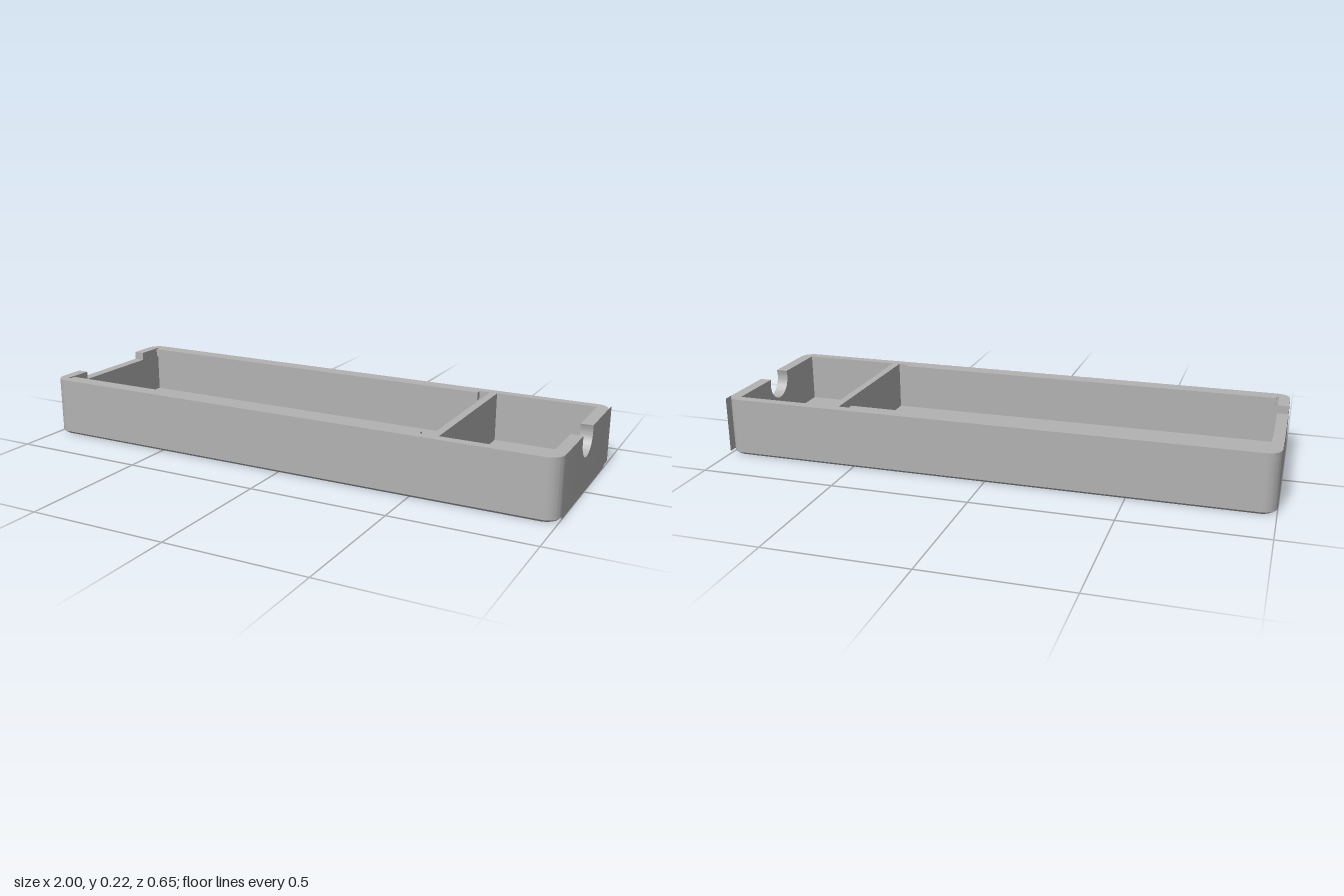
import * as THREE from 'three';
import { toCreasedNormals } from 'three/addons/utils/BufferGeometryUtils.js';

const W = 1, D = 0.323, H = 0.216;        // half width, half depth, height
const R = 0.05, CH = 0.009, FLOOR = 0.035; // corner radius, bottom chamfer, floor top
const IN = 0.287, LIP = 0.265, LIP_Y = 0.186; // inner wall, lip edge, lip underside

const v = (x, y) => new THREE.Vector2(x, y);

// Points of a rounded corner around (cx, cz)
function corner(cx, cz, from, to, n = 12) {
  return Array.from({ length: n + 1 }, (_, i) => {
    const a = from + (to - from) * i / n;
    return v(cx + R * Math.cos(a), cz + R * Math.sin(a));
  });
}

// Plan shape (x, z) raised from y0 to y1
function slab(shape, y0, y1) {
  return new THREE.ExtrudeGeometry(shape, { depth: y1 - y0, bevelEnabled: false, curveSegments: 20 })
    .rotateX(Math.PI / 2).translate(0, y1, 0);
}

// Rounded floor plan with the speaker holes: one centre, rings of 6 and 12
function floorShape() {
  const a = W - R, b = D - R, q = Math.PI / 2;
  const shape = new THREE.Shape([
    ...corner(a, b, 0, q), ...corner(-a, b, q, 2 * q),
    ...corner(-a, -b, 2 * q, 3 * q), ...corner(a, -b, 3 * q, 4 * q),
  ]);
  for (const [count, radius] of [[1, 0], [6, 0.083], [12, 0.166]]) {
    for (let i = 0; i < count; i++) {
      const t = i / count * Math.PI * 2;
      const hole = new THREE.Path();
      hole.absarc(0.082 + radius * Math.cos(t), radius * Math.sin(t), 0.022, 0, Math.PI * 2, true);
      shape.holes.push(hole);
    }
  }
  return shape;
}

// Half of the wall plan, including half of the divider; side is 1 or -1
function wallShape(side, gap, lip) {
  const pts = [
    v(-W, gap),
    ...corner(-W + R, D - R, Math.PI, Math.PI / 2),
    ...corner(W - R, D - R, Math.PI / 2, 0),
    v(W, 0.08), v(0.957, 0.08), v(0.957, IN), v(0.588, IN), v(0.588, 0),
    v(0.56, 0), v(0.56, IN),
    ...(lip ? [v(0.52, IN), v(0.52, LIP), v(-0.95, LIP), v(-0.95, IN)] : []),
    v(-0.96, IN), v(-0.96, gap),
  ];
  return new THREE.Shape(pts.map(p => v(p.x, p.y * side)));
}

export function createModel() {
  const group = new THREE.Group();
  const grey = new THREE.MeshStandardMaterial({ color: 0xb2b2b2, side: THREE.DoubleSide });
  grey.name = 'grey plastic';
  const add = (name, geometry, crease = true) => {
    const mesh = new THREE.Mesh(crease ? toCreasedNormals(geometry, 0.6) : geometry, grey);
    mesh.name = name;
    group.add(mesh);
  };

  // Chamfered underside: pull the lowest outer edge inwards
  const base = slab(floorShape(), 0, CH);
  const p = base.attributes.position;
  for (let i = 0; i < p.count; i++) {
    const x = p.getX(i), z = p.getZ(i);
    if (p.getY(i) < CH / 2 && (Math.abs(x) > 0.5 || Math.abs(z) > 0.25)) {
      p.setX(i, x * (1 - CH / W));
      p.setZ(i, z * (1 - CH / D));
    }
  }
  add('chamferedBase', base);
  add('floor', slab(floorShape(), CH, FLOOR));

  // Walls and divider, with the overhanging lip and end notch at the top
  for (const side of [1, -1]) {
    const label = side > 0 ? 'front' : 'back';
    add(label + 'Wall', slab(wallShape(side, 0, false), FLOOR, LIP_Y));
    add(label + 'LipAndRim', slab(wallShape(side, 0.18, true), LIP_Y, H));
  }

  // Middle of the end wall with a round cable cut-out
  const r = 0.067, cy = 0.193, t = Math.asin((H - cy) / r);
  const cut = new THREE.Shape();
  cut.moveTo(-0.08, FLOOR);
  cut.lineTo(0.08, FLOOR);
  cut.lineTo(0.08, H);
  cut.absarc(0, cy, r, t, -Math.PI - t, true);
  cut.lineTo(-0.08, H);
  cut.closePath();
  add('cableCutout', new THREE.ExtrudeGeometry(cut, { depth: 0.043, bevelEnabled: false, curveSegments: 32 })
    .rotateY(Math.PI / 2).translate(0.957, 0, 0));

  // Thin flat skin of the end face, reaching past the rounded back corner
  add('endFlap', new THREE.PlaneGeometry(R, H - CH)
    .rotateY(Math.PI / 2).translate(W, (H + CH) / 2, -D + R / 2), false);
  add('endSkirt', new THREE.PlaneGeometry(2 * (D - R), CH)
    .rotateY(Math.PI / 2).translate(W, CH / 2, 0), false);

  return group;
}
